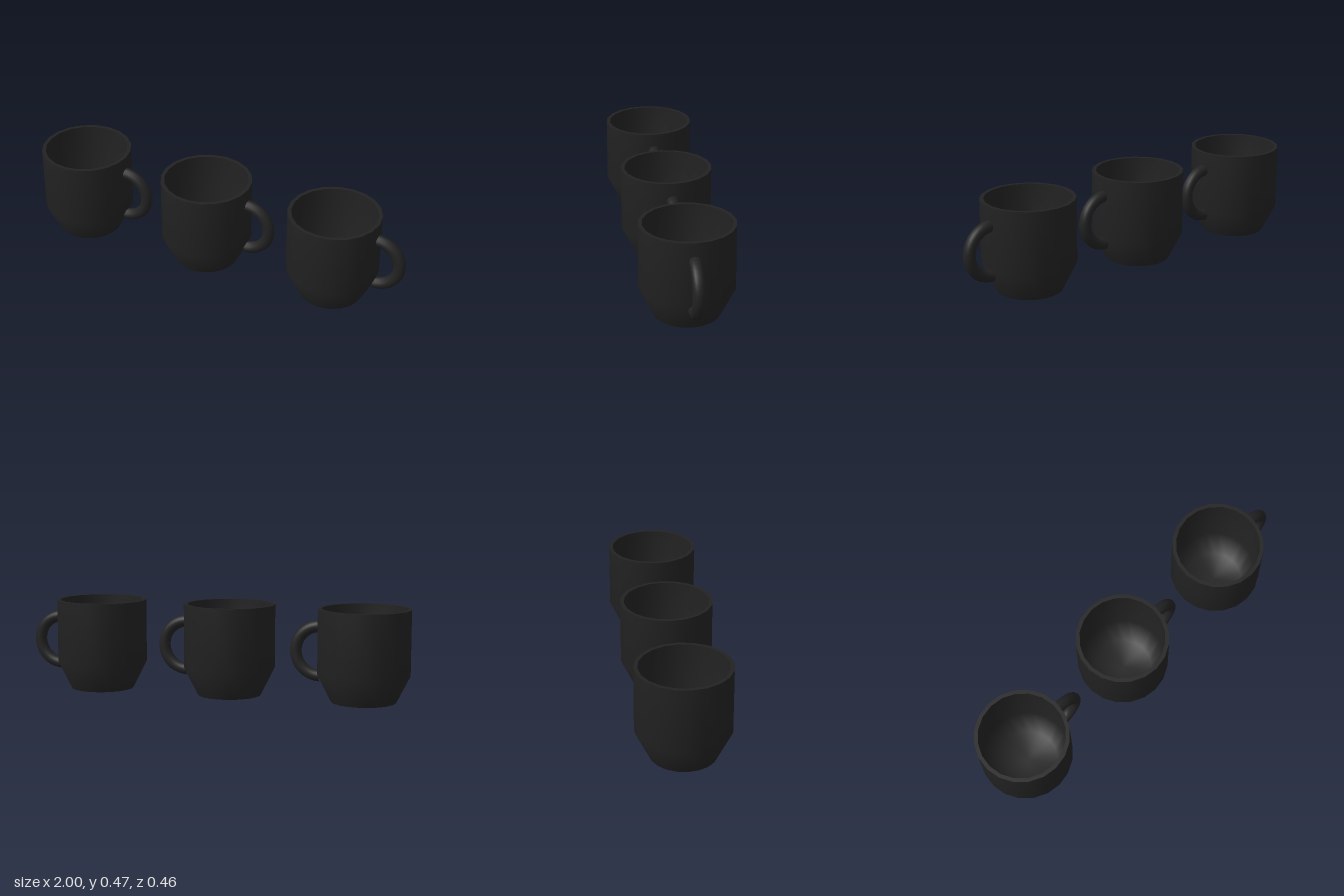
import * as THREE from 'three';

const SEGMENTS = 20;

export function createModel() {
  const group = new THREE.Group();
  group.name = 'mugRow';
  const black = new THREE.MeshStandardMaterial({ color: 0x222222 });
  black.name = 'black ceramic';

  // Profiles as [radius, height]; separate lathes keep the rim and foot edges sharp
  const profiles = {
    base: [[0, 0], [0.162, 0]],
    outerWall: [[0.162, 0], [0.232, 0.14], [0.232, 0.465]],
    rim: [[0.232, 0.465], [0.213, 0.465]],
    innerWall: [[0.213, 0.465], [0.213, 0.145], [0.15, 0.02], [0, 0.02]],
  };
  const parts = Object.entries(profiles).map(([name, pts]) => [
    name,
    new THREE.LatheGeometry(pts.map(([r, y]) => new THREE.Vector2(r, y)), SEGMENTS),
  ]);

  // Half-ring handle with its ends sunk into the wall
  const handle = new THREE.TorusGeometry(0.125, 0.03, 12, 20, Math.PI);
  handle.rotateZ(-Math.PI / 2);
  handle.translate(0.223, 0.245, 0);
  parts.push(['handle', handle]);

  // Three identical mugs side by side
  for (let i = 0; i < 3; i++) {
    const mug = new THREE.Group();
    mug.name = `mug${i + 1}`;
    for (const [name, geometry] of parts) {
      const mesh = new THREE.Mesh(geometry, black);
      mesh.name = name;
      mug.add(mesh);
    }
    mug.position.x = -0.768 + i * 0.695;
    group.add(mug);
  }
  return group;
}
